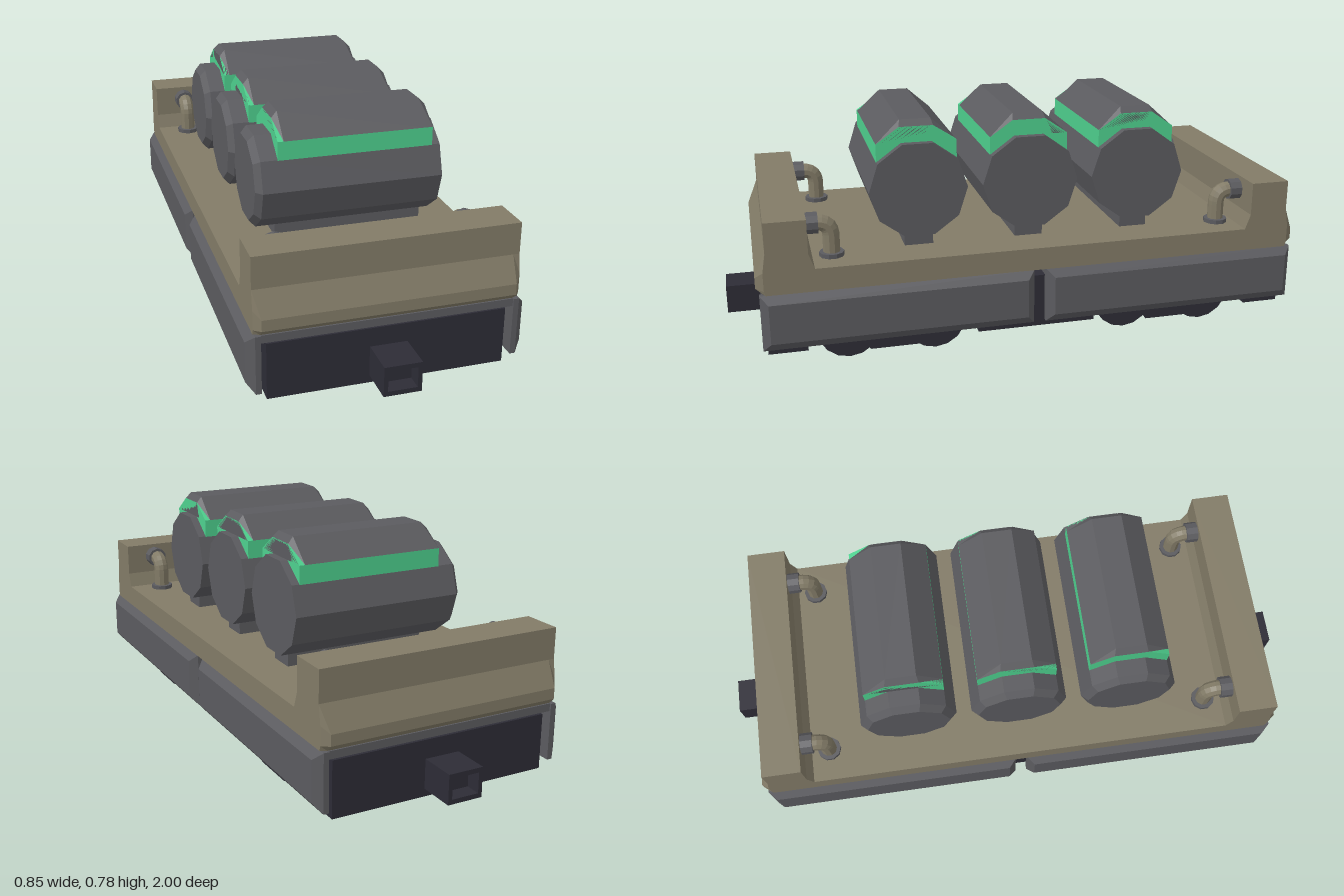
import * as THREE from 'three';

const mat = (name, color) => {
  const m = new THREE.MeshStandardMaterial({ color });
  m.name = name;
  return m;
};

// Mesh with faceted normals
function part(name, geo, material, parent, x = 0, y = 0, z = 0) {
  const g = geo.index ? geo.toNonIndexed() : geo;
  g.computeVertexNormals();
  const mesh = new THREE.Mesh(g, material);
  mesh.name = name;
  mesh.position.set(x, y, z);
  parent.add(mesh);
  return mesh;
}

// Box given by its limits
function box(name, x0, x1, y0, y1, z0, z1, material, parent) {
  return part(name, new THREE.BoxGeometry(x1 - x0, y1 - y0, z1 - z0), material, parent,
    (x0 + x1) / 2, (y0 + y1) / 2, (z0 + z1) / 2);
}

// Skin over convex rings [y, z] set along x, closed at both ends
function loft(sections) {
  const pos = [];
  const idx = [];
  const n = sections[0].ring.length;
  for (const { x, ring } of sections) for (const [y, z] of ring) pos.push(x, y, z);
  for (let k = 0; k < sections.length - 1; k++) {
    for (let i = 0; i < n; i++) {
      const j = (i + 1) % n;
      const a = k * n + i, b = k * n + j;
      idx.push(a, b, b + n, a, b + n, a + n);
    }
  }
  const last = (sections.length - 1) * n;
  for (let i = 1; i < n - 1; i++) {
    idx.push(0, i + 1, i);
    idx.push(last, last + i, last + i + 1);
  }
  const g = new THREE.BufferGeometry();
  g.setAttribute('position', new THREE.Float32BufferAttribute(pos, 3));
  g.setIndex(idx);
  return g;
}

// Side profile [z, y] extruded from x0 to x1
function extrudeX(points, x0, x1) {
  const shape = new THREE.Shape(points.map(([z, y]) => new THREE.Vector2(z, y)));
  return new THREE.ExtrudeGeometry(shape, { depth: x1 - x0, bevelEnabled: false })
    .rotateY(-Math.PI / 2).translate(x1, 0, 0);
}

const mirrored = (half) => [...half, ...half.map(([z, y]) => [-z, y]).reverse()];

const rect = (y0, y1, z0, z1) => [[y0, z0], [y1, z0], [y1, z1], [y0, z1]];

function decagon(r) {
  return Array.from({ length: 10 }, (_, i) => {
    const a = Math.PI / 10 + (i * Math.PI) / 5;
    return [r * Math.cos(a), r * Math.sin(a)];
  });
}

export function createModel() {
  const tan = mat('tan deck', 0x827b67);
  const grey = mat('grey metal', 0x5b5b5f);
  const dark = mat('dark chassis', 0x2d2c36);
  const green = mat('green band', 0x4ed08e);
  const model = new THREE.Group();
  model.name = 'flatWagon';
  const group = (name, parent = model) => {
    const g = new THREE.Group();
    g.name = name;
    parent.add(g);
    return g;
  };

  // Deck with raised end walls
  part('deck', extrudeX(mirrored([
    [0.87, 0.285], [0.87, 0.52], [0.74, 0.52], [0.74, 0.41], [0.722, 0.36],
  ]), -0.405, 0.405), tan, model);

  // Chassis: top plate, end blocks and centre block leave two wheel bays
  const chassis = group('chassis');
  box('chassisPlate', -0.367, 0.367, 0.2, 0.25, -0.88, 0.88, dark, chassis);
  box('centreBlock', -0.367, 0.367, 0.07, 0.2, -0.2, 0.2, dark, chassis);

  // Everything repeated at both ends
  for (const [label, turn] of [['front', 0], ['back', Math.PI]]) {
    const end = group(label + 'End');
    end.rotation.y = turn;

    // Chamfered bumper across the end wall
    const full = [[0.285, 0.85], [0.42, 0.85], [0.42, 0.87], [0.34, 0.905], [0.305, 0.905], [0.285, 0.885]];
    const narrow = [[0.285, 0.85], [0.42, 0.85], [0.42, 0.87], [0.36, 0.88], [0.3, 0.88], [0.285, 0.875]];
    part('bumper', loft([
      { x: -0.405, ring: narrow }, { x: -0.385, ring: full },
      { x: 0.385, ring: full }, { x: 0.405, ring: narrow },
    ]), tan, end);

    box('endBlock', -0.367, 0.367, 0.07, 0.2, 0.755, 0.88, dark, end);

    // Hollow coupler
    const frame = new THREE.Shape([[-0.058, 0.095], [0.058, 0.095], [0.058, 0.19], [-0.058, 0.19]]
      .map((p) => new THREE.Vector2(...p)));
    frame.holes.push(new THREE.Path([[-0.045, 0.11], [-0.045, 0.175], [0.045, 0.175], [0.045, 0.11]]
      .map((p) => new THREE.Vector2(...p))));
    part('coupler', new THREE.ExtrudeGeometry(frame, { depth: 0.13, bevelEnabled: false }),
      dark, end, 0, 0, 0.87);
    box('couplerBack', -0.045, 0.045, 0.11, 0.175, 0.87, 0.95, dark, end);

    // Skirt cover and side panels
    box('skirtTop', -0.4, 0.4, 0.26, 0.285, 0.02, 0.89, grey, end);
    for (const side of [1, -1]) {
      const sections = [
        { x: 0.385, ring: rect(0.1, 0.285, 0.02, 0.895) },
        { x: 0.402, ring: rect(0.1, 0.285, 0.02, 0.895) },
        { x: 0.427, ring: rect(0.13, 0.26, 0.045, 0.87) },
      ];
      const outward = side > 0 ? sections
        : sections.map((s) => ({ x: -s.x, ring: s.ring })).reverse();
      part('sidePanel', loft(outward), grey, end);
    }

    // Bogie: axles, wheels and side frames
    const bogie = group('bogie', end);
    bogie.position.z = 0.475;
    for (const z of [-0.143, 0.143]) {
      part('axle', new THREE.CylinderGeometry(0.025, 0.025, 0.66, 10).rotateZ(Math.PI / 2),
        dark, bogie, 0, 0.105, z);
      for (const x of [-0.28, 0.28]) {
        part('wheel', new THREE.CylinderGeometry(0.105, 0.105, 0.038, 16).rotateZ(Math.PI / 2),
          dark, bogie, x, 0.105, z);
      }
    }
    for (const x of [-0.335, 0.335]) {
      part('bogieFrame', extrudeX(mirrored([
        [0.08, 0.045], [0.11, 0.08], [0.25, 0.1], [0.25, 0.255],
      ]), x - 0.02, x + 0.02), dark, bogie);
    }

    // Elbow pipes joining deck and end wall
    for (const x of [-0.297, 0.297]) {
      const pipe = group('elbowPipe', end);
      pipe.position.set(x, 0, 0);
      const path = new THREE.CurvePath();
      const v = (y, z) => new THREE.Vector3(0, y, z);
      path.add(new THREE.LineCurve3(v(0.36, 0.66), v(0.43, 0.66)));
      path.add(new THREE.QuadraticBezierCurve3(v(0.43, 0.66), v(0.473, 0.66), v(0.473, 0.705)));
      path.add(new THREE.LineCurve3(v(0.473, 0.705), v(0.473, 0.74)));
      part('pipe', new THREE.TubeGeometry(path, 14, 0.027, 10), tan, pipe);
      part('pipeBase', new THREE.CylinderGeometry(0.04, 0.04, 0.014, 10), grey, pipe, 0, 0.367, 0.66);
      part('pipeCollar', new THREE.CylinderGeometry(0.036, 0.036, 0.04, 10).rotateX(Math.PI / 2),
        grey, pipe, 0, 0.473, 0.72);
    }
  }

  // Three drums lying across the deck
  const bandEdge = [[0.13, 0.64], [0.13, 0.705], [0.055, 0.757]];
  const capRing = (z, y) => [[0.705, -0.13], [y, -z], [y, z], [0.705, 0.13]];
  for (const z of [0.375, 0.005, -0.365]) {
    const drum = group('drum');
    drum.position.z = z;
    part('drumBody', loft([
      { x: -0.303, ring: decagon(0.138) },
      { x: -0.283, ring: decagon(0.16) },
      { x: 0.297, ring: decagon(0.16) },
    ]), grey, drum, 0, 0.553, 0);
    // Raised cover: green band below a chamfered grey lid
    part('greenBand', extrudeX([
      ...mirrored(bandEdge), [-0.05, 0.7], [0.05, 0.7],
    ], -0.229, 0.271), green, drum);
    part('lid', loft([
      { x: -0.229, ring: capRing(0.055, 0.757) },
      { x: -0.21, ring: capRing(0.05, 0.777) },
      { x: 0.252, ring: capRing(0.05, 0.777) },
      { x: 0.271, ring: capRing(0.055, 0.757) },
    ]), grey, drum);
    box('drumFoot', -0.22, 0.27, 0.355, 0.42, -0.047, 0.047, grey, drum);
  }
  return model;
}
